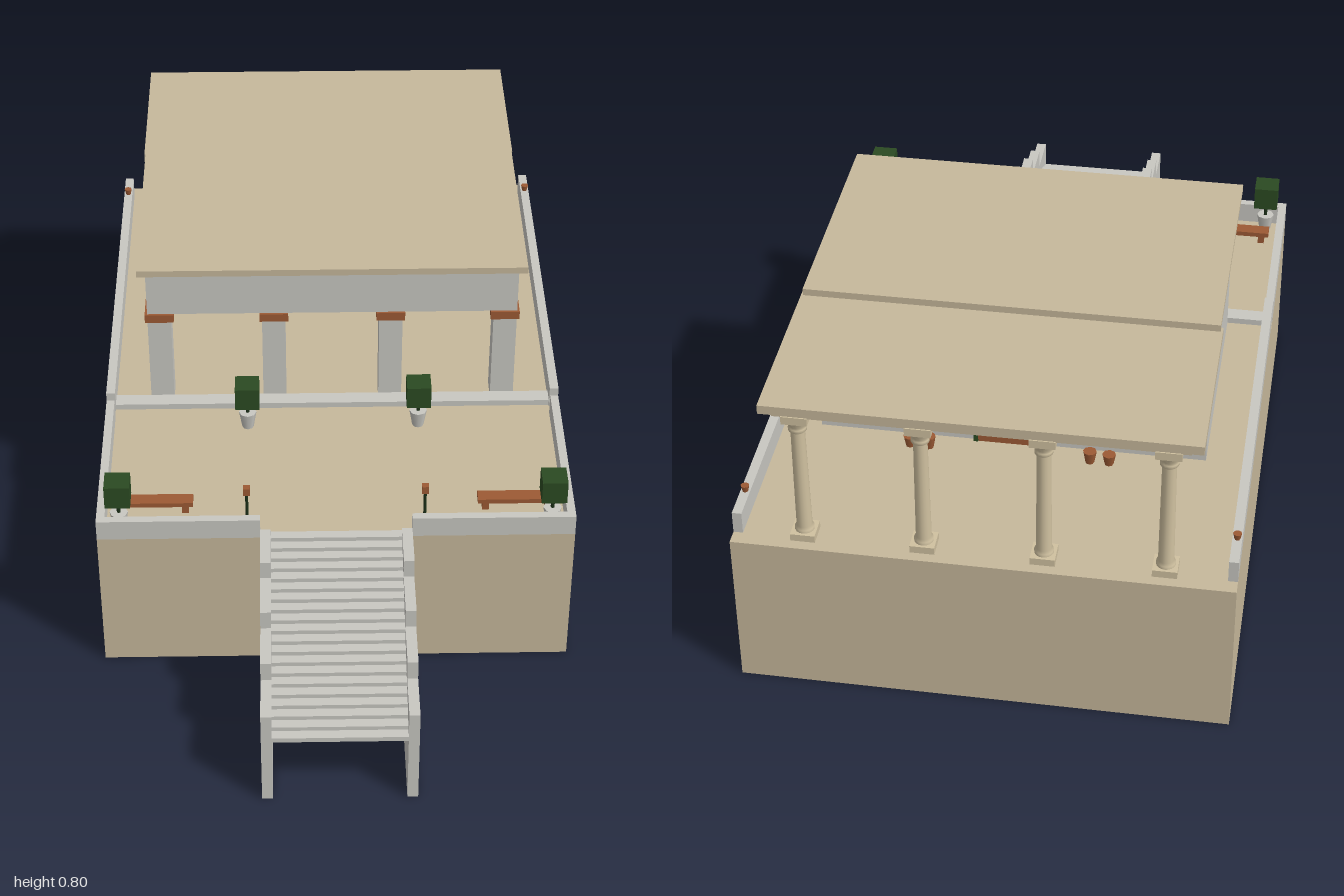
import * as THREE from 'three';

const mat = (name, color, side = THREE.FrontSide) => {
  const m = new THREE.MeshStandardMaterial({ color, side });
  m.name = name;
  return m;
};

export function createModel() {
  const model = new THREE.Group();
  model.name = 'terraceTemple';
  const sand = mat('sandstone', 0xc6b89b, THREE.DoubleSide);
  const stone = mat('greyStone', 0xc8c7c1);
  const pale = mat('paleStone', 0xd0c1a0);
  const clay = mat('terracotta', 0x9c5a34);
  const leaf = mat('leafGreen', 0x2b4a22);
  const dark = mat('darkGreen', 0x1c3018);

  const add = (name, geo, material, x = 0, y = 0, z = 0) => {
    const mesh = new THREE.Mesh(geo, material);
    mesh.name = name;
    mesh.position.set(x, y, z);
    model.add(mesh);
    return mesh;
  };
  // Box given by its limits on each axis
  const box = (name, m, x0, x1, y0, y1, z0, z1) =>
    add(name, new THREE.BoxGeometry(x1 - x0, y1 - y0, z1 - z0), m,
      (x0 + x1) / 2, (y0 + y1) / 2, (z0 + z1) / 2);
  const pair = (name, m, x0, x1, ...rest) => {
    box(name + 'Left', m, x0, x1, ...rest);
    box(name + 'Right', m, -x1, -x0, ...rest);
  };
  // Box without its underside
  const shell = (name, m, ...limits) => {
    const mesh = box(name, m, ...limits);
    const index = Array.from(mesh.geometry.index.array);
    index.splice(18, 6);
    mesh.geometry.setIndex(index);
    mesh.geometry.clearGroups();
  };
  const pot = (name, m, x, y, z, r, h) =>
    add(name, new THREE.CylinderGeometry(r, r * 0.65, h, 8).toNonIndexed(), m, x, y + h / 2, z);

  // Hollow bases
  shell('podium', sand, -0.567, 0.567, 0, 0.4, -1, 0);
  shell('frontTerrace', sand, -0.567, 0.567, 0, 0.38, 0, 0.52);

  // Parapets and the raised edge between the terraces
  pair('terraceSideParapet', stone, 0.547, 0.567, 0.38, 0.433, 0.045, 0.52);
  pair('terraceFrontParapet', stone, 0.18, 0.547, 0.38, 0.433, 0.5, 0.52);
  pair('podiumParapet', stone, 0.545, 0.567, 0.4, 0.455, -0.965, 0.045);
  box('terraceEdge', stone, -0.545, 0.545, 0.4, 0.415, 0, 0.04);

  // Staircase
  const steps = 20, run = 0.48 / steps, rise = 0.0108;
  for (let i = 0; i < steps; i++) {
    const z = 1 - i * run, y = 0.193 + i * rise;
    box('stairStep', stone, -0.155, 0.155, y - 0.0125, y, z - run, z);
  }
  [0.26, 0.31, 0.358, 0.405].forEach((h, i) => {
    pair('stairWall', stone, 0.155, 0.18, 0, h, 0.88 - i * 0.12, 1 - i * 0.12);
  });

  // Hall: walls, lintel, square front pillars with clay capitals
  pair('hallSideWall', stone, 0.435, 0.457, 0.4, 0.785, -0.555, -0.06);
  box('hallBackWall', stone, -0.457, 0.457, 0.4, 0.785, -0.555, -0.535);
  box('frontLintel', stone, -0.457, 0.457, 0.664, 0.785, -0.06, 0);
  for (const x of [0.116, 0.399]) {
    pair('frontPillar', stone, x, x + 0.058, 0.4, 0.642, -0.06, 0);
    pair('frontCapital', clay, x - 0.007, x + 0.064, 0.642, 0.664, -0.068, 0.006);
  }

  // Roofs
  box('hallRoof', sand, -0.477, 0.477, 0.785, 0.802, -0.572, 0.016);
  box('porchRoof', sand, -0.482, 0.482, 0.762, 0.784, -0.987, -0.555);
  box('porchBeam', sand, -0.455, 0.455, 0.748, 0.762, -0.973, -0.922);

  // Rear porch columns
  const profile = [[0.022, 0.418], [0.022, 0.426], [0.018, 0.432], [0.016, 0.695],
    [0.021, 0.7], [0.021, 0.708], [0.018, 0.712], [0.028, 0.732]]
    .map(([r, y]) => new THREE.Vector2(r, y));
  for (const x of [-0.406, -0.135, 0.135, 0.406]) {
    add('porchColumn', new THREE.LatheGeometry(profile, 16), pale, x, 0, -0.947);
    box('columnPlinth', pale, x - 0.028, x + 0.028, 0.4, 0.418, -0.975, -0.919);
    box('columnCapital', pale, x - 0.029, x + 0.029, 0.73, 0.75, -0.976, -0.918);
  }

  // Rear door with green jambs
  box('rearDoor', clay, -0.08, 0.08, 0.4, 0.61, -0.561, -0.555);
  pair('doorJamb', leaf, 0.08, 0.091, 0.4, 0.625, -0.564, -0.555);

  for (const s of [-1, 1]) {
    // Clipped bushes in pots
    for (const [x, y, z, floor] of [[0.515, 0.49, 0.472, 0.38], [0.213, 0.483, 0.087, 0.38]]) {
      add('bush', new THREE.BoxGeometry(0.06, 0.06, 0.06), leaf, s * x, y, z);
      pot('bushPot', stone, s * x, floor, z, 0.022, 0.045);
      add('bushTrunk', new THREE.CylinderGeometry(0.005, 0.005, 0.05, 6), dark, s * x, 0.445, z);
    }
    // Torches
    add('torchPole', new THREE.CylinderGeometry(0.004, 0.004, 0.1, 6), dark, s * 0.211, 0.43, 0.475);
    box('torchHead', clay, s * 0.211 - 0.008, s * 0.211 + 0.008, 0.478, 0.498, 0.467, 0.483);
    // Benches
    const c = s * 0.435;
    box('benchSeat', clay, c - 0.094, c + 0.094, 0.402, 0.414, 0.395, 0.43);
    for (const d of [-0.075, 0.075])
      box('benchLeg', clay, c + d - 0.008, c + d + 0.008, 0.38, 0.402, 0.4, 0.425);
    // Clay pots by the door and on the parapets
    pot('doorPot', clay, s * 0.19, 0.4, -0.6, 0.016, 0.032);
    pot('doorPot', clay, s * 0.235, 0.4, -0.6, 0.016, 0.028);
    pot('parapetPot', clay, s * 0.556, 0.455, -0.885, 0.01, 0.016);
  }
  return model;
}
